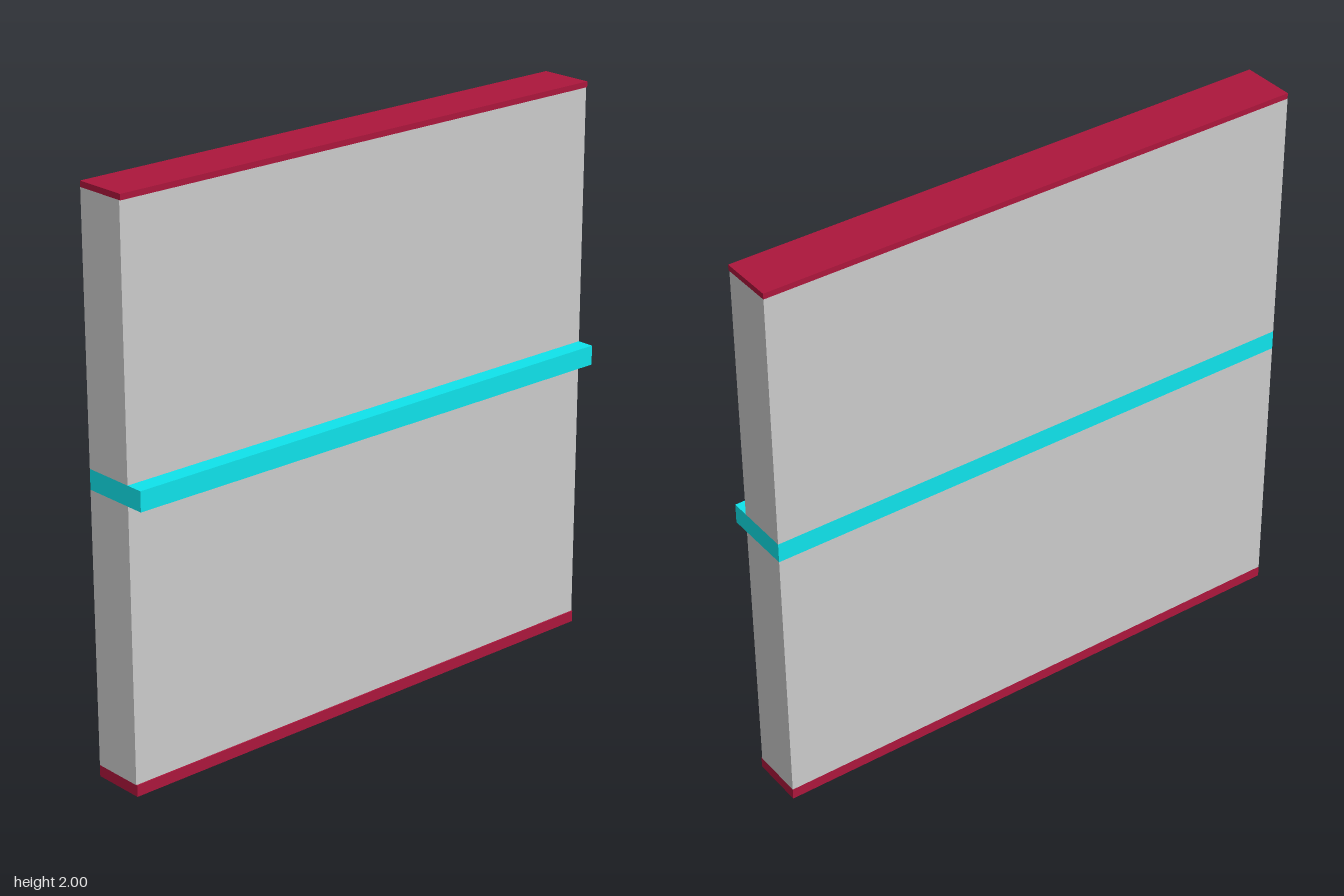
import * as THREE from 'three';

const WIDTH = 2;
const BACK = -0.126;

export function createModel() {
  const group = new THREE.Group();
  const grey = new THREE.MeshStandardMaterial({ color: 0xcccccc });
  const red = new THREE.MeshStandardMaterial({ color: 0xac163c });
  const cyan = new THREE.MeshStandardMaterial({ color: 0x0fe4ec });

  // Full-width slab between two heights, flush at the back
  const addSlab = (name, bottom, top, front, material) => {
    const geometry = new THREE.BoxGeometry(WIDTH, top - bottom, front - BACK);
    const mesh = new THREE.Mesh(geometry, material);
    mesh.name = name;
    mesh.position.set(0, (bottom + top) / 2, (front + BACK) / 2);
    group.add(mesh);
  };

  // Wall, stacked from the ground up
  addSlab('basePlate', 0, 0.04, 0.068, red);
  addSlab('lowerPanel', 0.04, 1.0, 0.063, grey);
  addSlab('ledge', 1.0, 1.07, 0.126, cyan);
  addSlab('upperPanel', 1.07, 1.98, 0.063, grey);
  addSlab('topCap', 1.98, 2, 0.068, red);

  return group;
}
